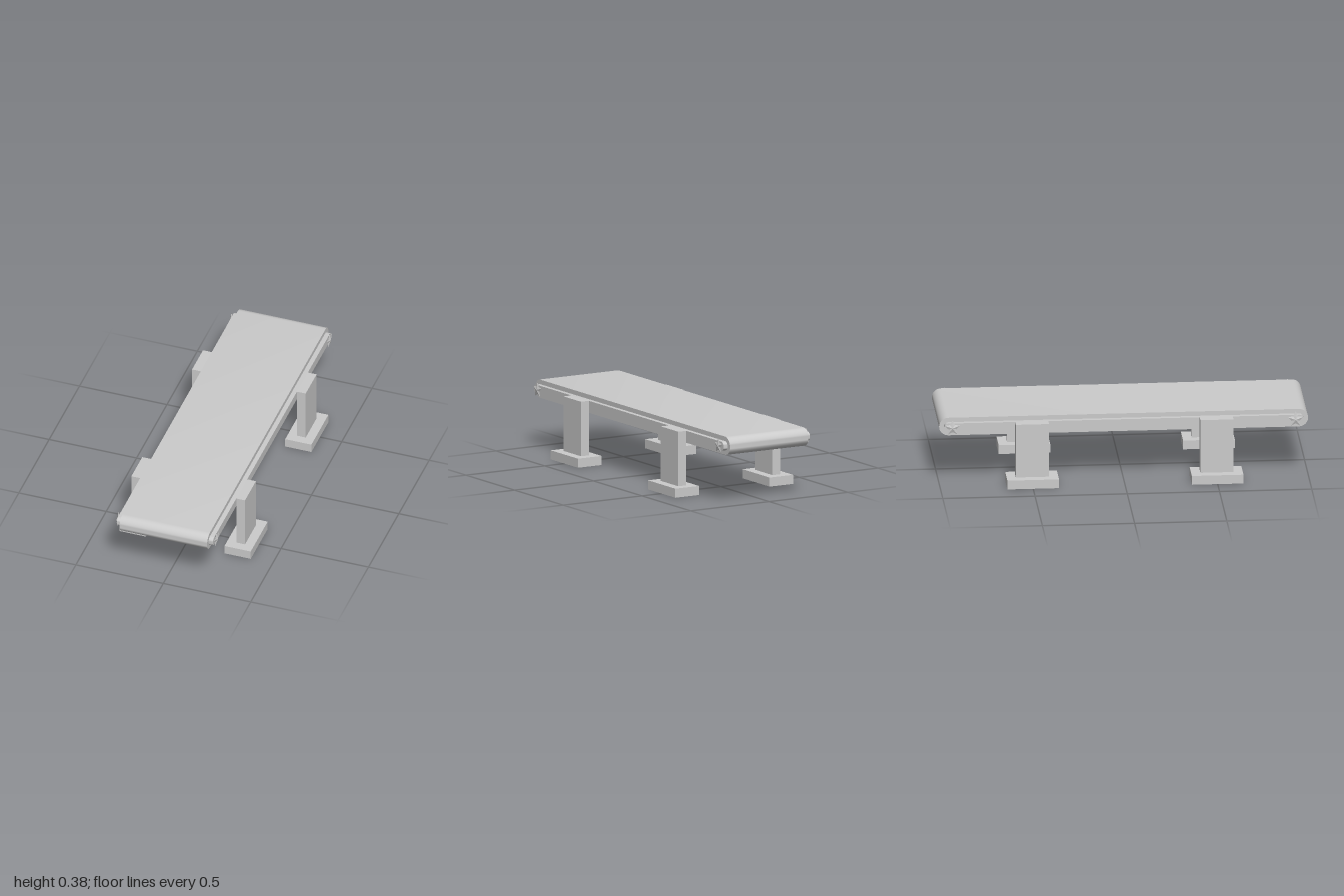
import * as THREE from 'three';
import { toCreasedNormals } from 'three/addons/utils/BufferGeometryUtils.js';

const grey = new THREE.MeshStandardMaterial({ color: 0xcccccc });
const thin = new THREE.MeshStandardMaterial({ color: 0xcccccc, side: THREE.DoubleSide, flatShading: true });
const faceted = new THREE.MeshStandardMaterial({ color: 0xcccccc, flatShading: true });

// Round-ended slab running along z, centred on the origin
function slab(length, radius, width) {
  const h = length / 2 - radius;
  const shape = new THREE.Shape();
  shape.absarc(h, 0, radius, -Math.PI / 2, Math.PI / 2, false);
  shape.absarc(-h, 0, radius, Math.PI / 2, Math.PI * 1.5, false);
  const geo = new THREE.ExtrudeGeometry(shape, { depth: width, bevelEnabled: false, curveSegments: 8 });
  geo.translate(0, 0, -width / 2).rotateY(-Math.PI / 2);
  return toCreasedNormals(geo, 0.6);
}

// Hollow leg rising out of a foot that is open underneath
function legGeometry() {
  const rings = [[0.075, 0, 0.14], [0.075, 0.05, 0.14], [0.025, 0.05, 0.09], [0.025, 0.35, 0.09]];
  const corners = [[1, 1], [1, -1], [-1, -1], [-1, 1]];
  const pos = [], index = [];
  for (const [x, y, z] of rings) for (const [sx, sz] of corners) pos.push(sx * x, y, sz * z);
  for (let r = 0; r < 3; r++) {
    for (let i = 0; i < 4; i++) {
      const a = r * 4 + i, b = r * 4 + (i + 1) % 4;
      index.push(a, b, b + 4, a, b + 4, a + 4);
    }
  }
  index.push(12, 13, 14, 12, 14, 15);
  const geo = new THREE.BufferGeometry();
  geo.setAttribute('position', new THREE.Float32BufferAttribute(pos, 3));
  geo.setIndex(index);
  const flat = geo.toNonIndexed();
  flat.computeVertexNormals();
  return flat;
}

// Five-pointed star, swelling to a point on both sides
function starGeometry() {
  const geo = new THREE.SphereGeometry(0.045, 10, 2);
  const p = geo.attributes.position;
  for (let i = 0; i < p.count; i++) {
    const step = Math.round(Math.atan2(p.getZ(i), p.getX(i)) / (Math.PI / 5));
    const s = step % 2 === 0 ? 1 : 0.5;
    p.setXYZ(i, p.getX(i) * s, p.getY(i) * 0.18, p.getZ(i) * s);
  }
  return geo.rotateZ(Math.PI / 2);
}

export function createModel() {
  const model = new THREE.Group();
  model.name = 'conveyor';
  const add = (name, geo, mat, x, y, z) => {
    const mesh = new THREE.Mesh(geo, mat);
    mesh.name = name;
    mesh.position.set(x, y, z);
    model.add(mesh);
  };

  // Belt and the narrower frame showing at its sides
  add('belt', slab(2, 0.05, 0.5), grey, 0, 0.325, 0);
  add('frame', slab(1.95, 0.025, 0.55), grey, 0, 0.325, 0);

  // Four legs and four star knobs
  const leg = legGeometry(), star = starGeometry();
  for (const sx of [1, -1]) {
    for (const sz of [1, -1]) {
      const place = (sz > 0 ? 'front' : 'back') + (sx > 0 ? 'Left' : 'Right');
      add(place + 'Leg', leg, thin, sx * 0.3, 0, sz * 0.5);
      add(place + 'StarKnob', star, faceted, sx * 0.28, 0.325, sz * 0.93);
    }
  }
  return model;
}
